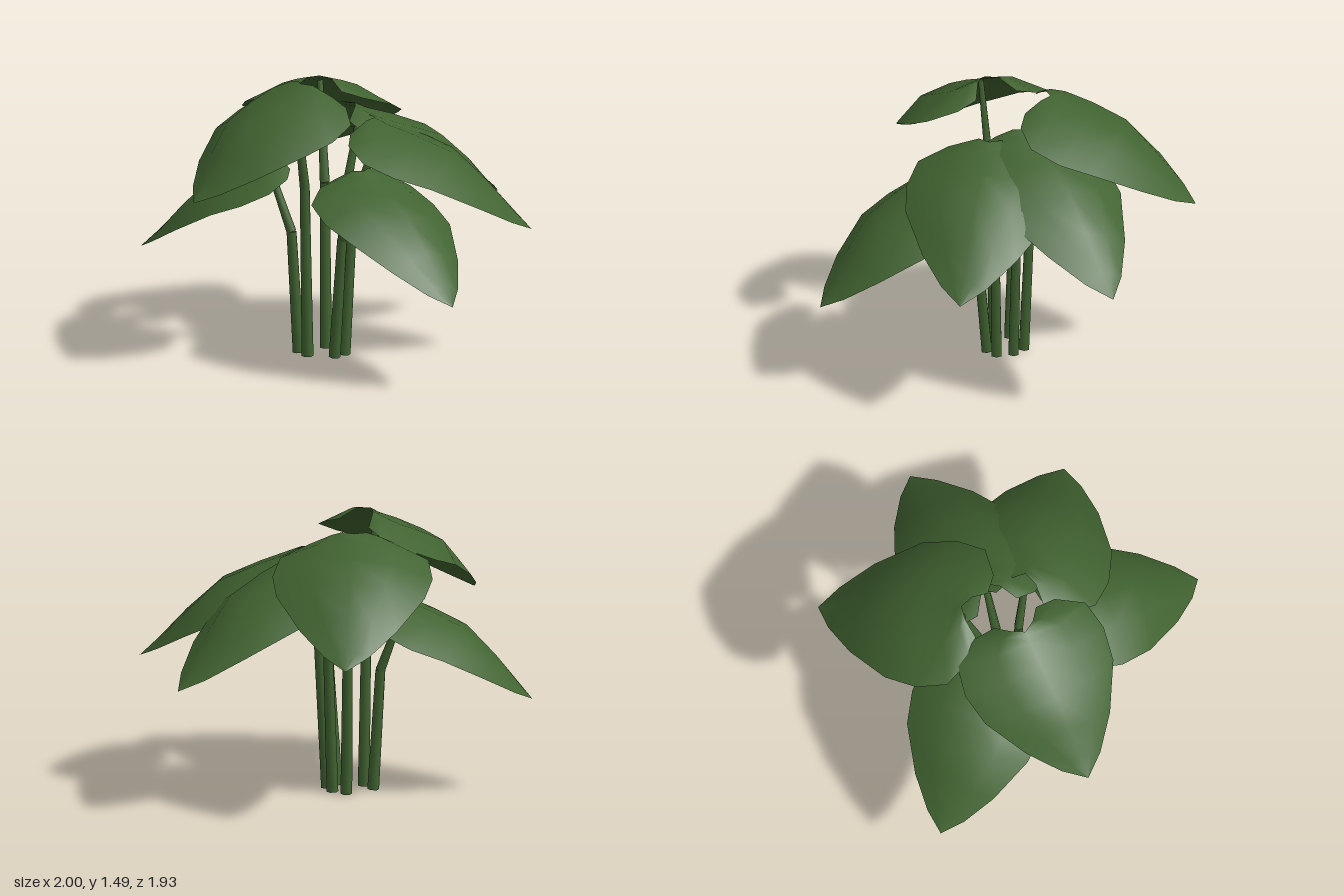
import * as THREE from 'three';

const UP = new THREE.Vector3(0, 1, 0);

// Leaf sections, notch to tip, as fractions of leaf length:
// [rib along, rib lift, edge along, edge half width, edge lift]
const SECTIONS = [
  [0, 0, -0.06, 0.14, -0.14],
  [0.02, 0.002, -0.04, 0.27, -0.175],
  [0.07, 0.008, 0.065, 0.43, -0.17],
  [0.22, 0.047, 0.24, 0.465, -0.128],
  [0.43, 0.088, 0.43, 0.43, -0.068],
  [0.65, 0.056, 0.7, 0.28, -0.025],
  [0.85, 0.015, 0.89, 0.13, -0.008],
  [1, 0, 1, 0, 0],
];
const ACROSS = [-1, -0.5, 0, 0.5, 1];

// notch, tip, half width, droop of the edges, foot of the stalk (x, z)
const LEAVES = [
  { name: 'frontLeaf', notch: [-0.13, 1.06, 0.2], tip: [-0.11, 0.48, 0.96], half: 0.355, droop: 1, foot: [-0.135, -0.06] },
  { name: 'rightLeaf', notch: [-0.3, 1.485, -0.14], tip: [-1, 0.95, -0.12], half: 0.41, droop: 1, foot: [-0.237, -0.16] },
  { name: 'leftLeaf', notch: [0.08, 1.318, -0.175], tip: [1, 0.7, -0.17], half: 0.38, droop: 1, foot: [-0.03, -0.16] },
  { name: 'frontLeftLeaf', notch: [0.055, 1.285, 0.035], tip: [0.68, 0.7, 0.57], half: 0.415, droop: 0.94, foot: [-0.06, -0.075] },
  { name: 'backLeftLeaf', notch: [-0.01, 1.435, -0.37], tip: [0.5, 0.885, -0.955], half: 0.42, droop: 0.86, foot: [-0.06, -0.24] },
  { name: 'backRightLeaf', notch: [-0.3, 1.06, -0.38], tip: [-0.795, 0.525, -0.88], half: 0.36, droop: 1, foot: [-0.23, -0.25] },
];

// Axes of a leaf: along to the tip, sideways, and out of its upper face
function leafFrame(leaf) {
  const notch = new THREE.Vector3(...leaf.notch);
  const along = new THREE.Vector3(...leaf.tip).sub(notch);
  const length = along.length();
  along.normalize();
  const side = new THREE.Vector3().crossVectors(along, UP).normalize();
  const normal = new THREE.Vector3().crossVectors(side, along);
  const place = (u, w, n) => notch.clone()
    .addScaledVector(along, u).addScaledVector(side, w).addScaledVector(normal, n);
  return { place, length };
}

// Arched heart-shaped blade, lofted from rib to both edges
function leafGeometry({ place, length }, { half, droop }) {
  const wide = half / 0.465;
  const positions = [];
  const index = [];
  SECTIONS.forEach(([ru, rn, eu, ew, en], i) => {
    ACROSS.forEach((t, j) => {
      const a = Math.abs(t);
      const bulge = a === 0.5 ? 0.3 * (rn - en) : 0;
      const drop = ((en - rn) * a + bulge) * droop;
      const p = place((ru + (eu - ru) * a) * length, ew * t * wide, rn * length + drop * wide);
      positions.push(p.x, p.y, p.z);
      if (i < SECTIONS.length - 1 && j < ACROSS.length - 1) {
        const k = i * ACROSS.length + j;
        const next = k + ACROSS.length;
        index.push(k, k + 1, next);
        // The last strip closes on the tip
        if (i < SECTIONS.length - 2) index.push(k + 1, next + 1, next);
      }
    });
  });
  const g = new THREE.BufferGeometry();
  g.setAttribute('position', new THREE.Float32BufferAttribute(positions, 3));
  g.setIndex(index);
  g.computeVertexNormals();
  return g;
}

// Six-sided tapered rod between two points
function rod(from, to, r0, r1, material) {
  const dir = to.clone().sub(from);
  const mesh = new THREE.Mesh(new THREE.CylinderGeometry(r1, r0, dir.length(), 6), material);
  mesh.position.copy(from).add(to).multiplyScalar(0.5);
  mesh.quaternion.setFromUnitVectors(UP, dir.normalize());
  return mesh;
}

export function createModel() {
  const model = new THREE.Group();
  model.name = 'leafyPlant';
  const green = new THREE.MeshStandardMaterial({ color: 0x416331, side: THREE.DoubleSide });
  green.name = 'leafGreen';

  for (const leaf of LEAVES) {
    const frame = leafFrame(leaf);
    const blade = new THREE.Mesh(leafGeometry(frame, leaf), green);
    blade.name = leaf.name;
    model.add(blade);

    // Stalk: nearly upright, then bent out to the leaf
    const foot = new THREE.Vector3(leaf.foot[0], 0, leaf.foot[1]);
    const top = frame.place(0.05, 0, -0.005);
    const bend = foot.clone().lerp(top, 0.22).setY(top.y * 0.63);
    const stalk = new THREE.Group();
    stalk.name = leaf.name.replace('Leaf', 'Stalk');
    const lower = rod(foot, bend, 0.031, 0.026, green);
    lower.name = 'lowerStalk';
    const upper = rod(bend, top, 0.026, 0.016, green);
    upper.name = 'upperStalk';
    stalk.add(lower, upper);
    model.add(stalk);
  }
  return model;
}
